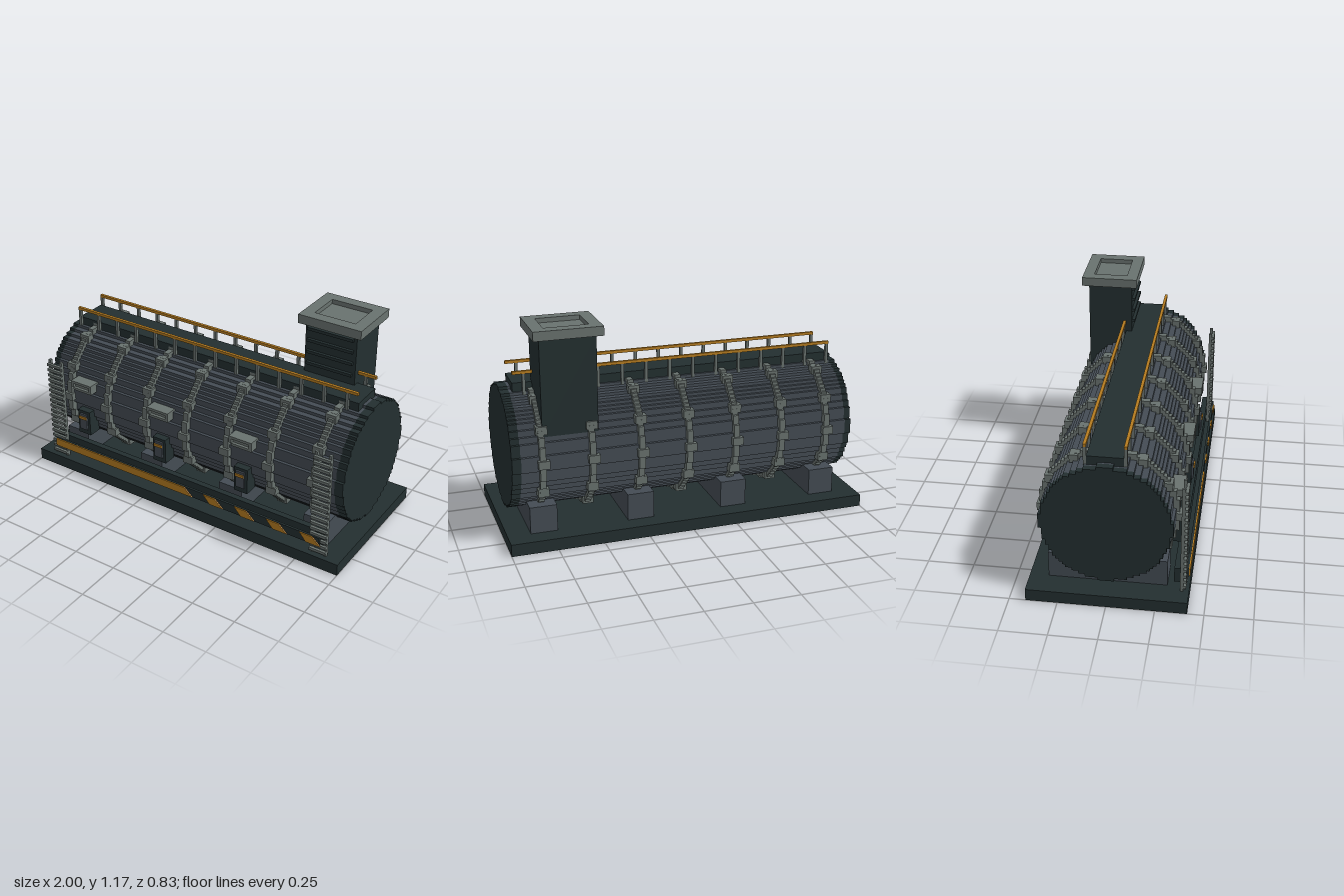
import * as THREE from 'three';

const V = 0.0165;              // size of one block step
const CY = 0.465, CZ = -0.005; // tank axis

const mat = (name, color) => Object.assign(new THREE.MeshStandardMaterial({ color }), { name });

// Outline of a circle stepped into square blocks
function steppedPoints(radius) {
  const rows = Math.round(radius / V - 0.5);
  const quarter = [];
  for (let k = 0; k <= rows; k++) {
    const w = (Math.floor(Math.sqrt(Math.max(radius * radius - k * k * V * V, 0)) / V) + 0.5) * V;
    quarter.push([w, Math.max(k - 0.5, 0) * V], [w, (k + 0.5) * V]);
  }
  const back = quarter.slice().reverse();
  return [
    ...quarter,
    ...back.map(([x, y]) => [-x, y]),
    ...quarter.map(([x, y]) => [-x, -y]),
    ...back.map(([x, y]) => [x, -y]),
  ].map(([x, y]) => new THREE.Vector2(x, y))
    .filter((p, i, a) => i === 0 || p.distanceTo(a[i - 1]) > 1e-5);
}

// Stepped disc, or ring when inner is given, along x
function steppedDisc(radius, x0, x1, inner) {
  const shape = new THREE.Shape(steppedPoints(radius));
  if (inner) shape.holes.push(new THREE.Path(steppedPoints(inner)));
  return new THREE.ExtrudeGeometry(shape, { depth: x1 - x0, bevelEnabled: false })
    .rotateY(Math.PI / 2).translate(x0, CY, CZ);
}

export function createModel() {
  const model = new THREE.Group();
  model.name = 'storageTank';
  const dark = mat('darkGreen', 0x232f30);
  const slate = mat('slate', 0x444c54);
  const grey = mat('steelGrey', 0x69726f);
  const gold = mat('safetyAmber', 0xb67c20);

  const group = (name, parent = model) => {
    const g = new THREE.Group();
    g.name = name;
    parent.add(g);
    return g;
  };
  const add = (name, geo, material, parent = model) => {
    const m = new THREE.Mesh(geo, material);
    m.name = name;
    parent.add(m);
    return m;
  };
  // Box given by its extents
  const box = (name, x0, x1, y0, y1, z0, z1, material, parent) =>
    add(name, new THREE.BoxGeometry(x1 - x0, y1 - y0, z1 - z0)
      .translate((x0 + x1) / 2, (y0 + y1) / 2, (z0 + z1) / 2), material, parent);

  // Base and saddles
  box('base', -1, 1, 0, 0.067, -0.415, 0.415, dark);
  for (const x of [-0.795, -0.262, 0.271, 0.804])
    box('saddle', x - 0.073, x + 0.073, 0.067, 0.215, -0.316, 0.3, slate);

  // Tank shell and end caps
  add('tankShell', steppedDisc(0.332, -0.915, 0.915), slate);
  add('leftCap', steppedDisc(0.332, 0.915, 0.963), dark);
  add('rightCap', steppedDisc(0.332, -0.95, -0.915), dark);

  // Hoops with lugs
  for (let i = 0; i < 7; i++) {
    const x = -0.795 + i * 0.2665;
    const hoop = group('hoop');
    add('hoopBand', steppedDisc(0.358, x - 0.016, x + 0.016, 0.31), grey, hoop);
    for (let k = 0; k < 12; k++) {
      const a = k * Math.PI / 6;
      const y = CY + Math.sin(a) * 0.345, z = CZ + Math.cos(a) * 0.345;
      box('hoopLug', x - 0.034, x + 0.026, y - 0.022, y + 0.022, z - 0.022, z + 0.022, grey, hoop);
    }
  }

  // Walkway with two handrails
  box('walkway', -0.905, 0.9, 0.78, 0.835, -0.1, 0.085, dark);
  for (const z of [0.093, -0.108]) {
    const rail = group('handrail');
    box('railBar', -0.905, 0.9, 0.885, 0.901, z - 0.008, z + 0.008, gold, rail);
    for (let i = 0; i < 14; i++) {
      const x = -0.896 + i * 0.1335;
      box('railPost', x - 0.008, x + 0.008, 0.76, 0.885, z - 0.008, z + 0.008, grey, rail);
    }
  }

  // Chimney with louvres and a hollow cap
  const chimney = group('chimney');
  box('chimneyStack', 0.497, 0.795, 0.6, 1.12, -0.315, -0.067, dark, chimney);
  for (const y of [0.893, 0.96, 1.027, 1.094])
    box('chimneyLouvre', 0.513, 0.779, y - 0.008, y + 0.008, -0.067, -0.05, dark, chimney);
  box('chimneyCapFloor', 0.465, 0.83, 1.12, 1.145, -0.35, -0.035, grey, chimney);
  const rim = new THREE.Shape([[0.465, 0.035], [0.83, 0.035], [0.83, 0.35], [0.465, 0.35]]
    .map(p => new THREE.Vector2(...p)));
  rim.holes.push(new THREE.Path([[0.528, 0.098], [0.528, 0.288], [0.765, 0.288], [0.765, 0.098]]
    .map(p => new THREE.Vector2(...p))));
  add('chimneyCapRim', new THREE.ExtrudeGeometry(rim, { depth: 0.025, bevelEnabled: false })
    .rotateX(-Math.PI / 2).translate(0, 1.145, 0), grey, chimney);

  // Ladders at both ends of the front
  for (const x of [-0.86, 0.87]) {
    const ladder = group('ladder');
    for (const s of [-1, 1])
      box('ladderRail', x + s * 0.04 - 0.008, x + s * 0.04 + 0.008, 0.067, 0.685, 0.368, 0.385, grey, ladder);
    for (let y = 0.092; y < 0.69; y += 0.0333)
      box('ladderRung', x - 0.048, x + 0.048, y - 0.008, y + 0.008, 0.384, 0.4, grey, ladder);
  }

  // Vents and control boxes on the front
  for (const x of [-0.693, -0.16, 0.373]) {
    const vent = group('vent');
    box('ventBody', x - 0.07, x + 0.07, 0.53, 0.585, 0.3, 0.352, grey, vent);
    box('ventTop', x - 0.07, x + 0.07, 0.57, 0.585, 0.352, 0.368, grey, vent);
    box('ventBottom', x - 0.055, x + 0.07, 0.53, 0.545, 0.352, 0.368, grey, vent);
    for (const s of [-1, 1])
      box('ventSide', x + s * 0.062 - 0.008, x + s * 0.062 + 0.008, 0.545, 0.57, 0.352, 0.368, grey, vent);

    const control = group('controlBox');
    box('controlBody', x - 0.042, x + 0.042, 0.25, 0.4, 0.28, 0.358, dark, control);
    box('controlPanel', x - 0.026, x + 0.026, 0.283, 0.383, 0.358, 0.368, slate, control);
    box('controlLabel', x - 0.026, x + 0.026, 0.352, 0.367, 0.368, 0.375, gold, control);
  }

  // Bumper with hazard stripes
  const bumper = group('bumper');
  box('bumperBeam', -0.9, 0.9, 0.12, 0.203, 0.337, 0.37, dark, bumper);
  box('bumperPlate', -0.87, 0.885, 0.135, 0.186, 0.396, 0.409, dark, bumper);
  const stripe = (xa, xb, lean0) => {
    const s = new THREE.Shape([
      [xa + lean0, 0.138], [xb, 0.138], [xb - 0.05, 0.184], [xa, 0.184],
    ].map(p => new THREE.Vector2(...p)));
    add('hazardStripe', new THREE.ExtrudeGeometry(s, { depth: 0.007, bevelEnabled: false })
      .translate(0, 0, 0.409), gold, bumper);
  };
  stripe(-0.87, 0.095, 0);
  for (let i = 0; i < 4; i++) stripe(0.17 + i * 0.2, 0.295 + i * 0.2, 0.04);

  return model;
}
